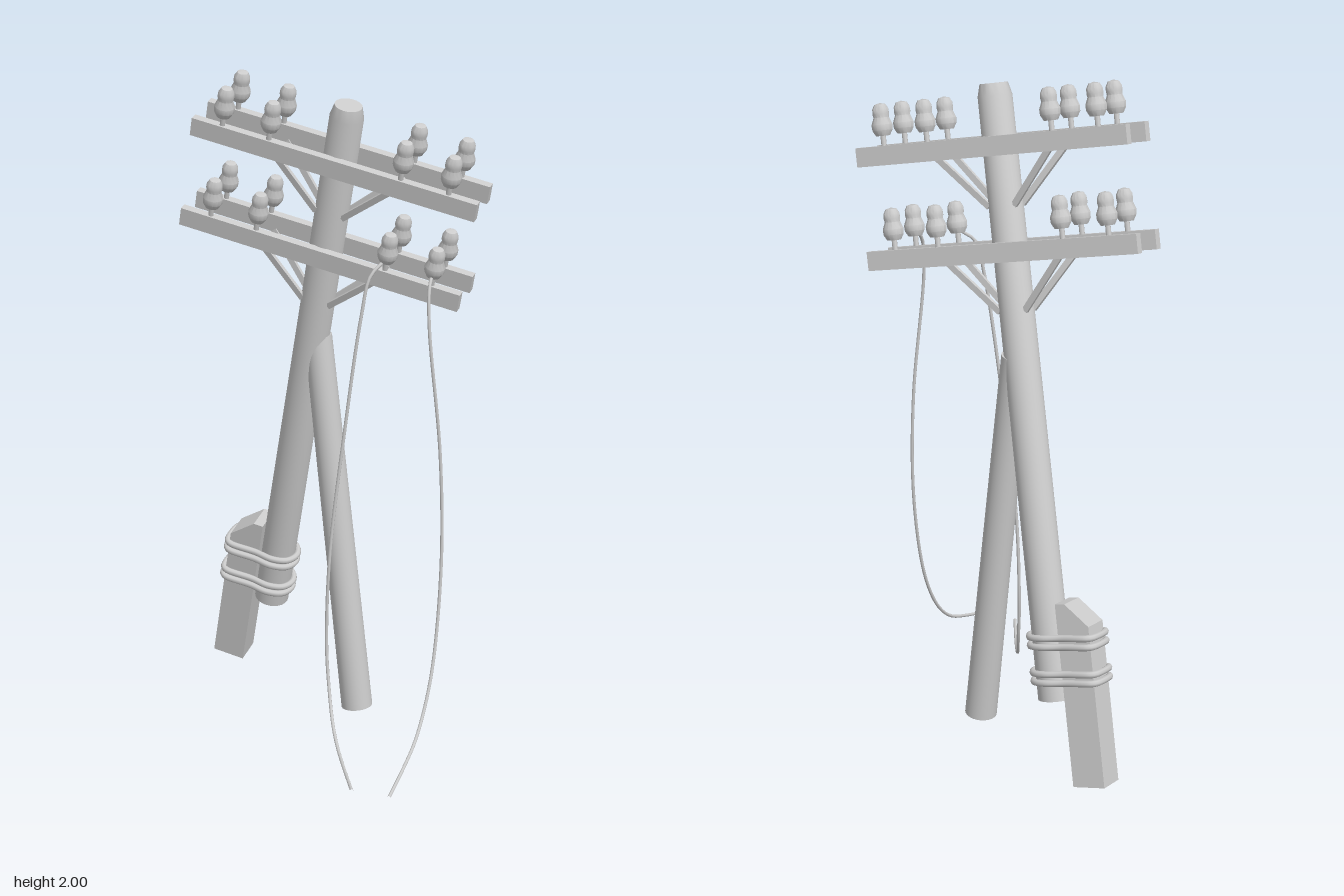
import * as THREE from 'three';
import { toCreasedNormals } from 'three/addons/utils/BufferGeometryUtils.js';

const V = (x, y, z) => new THREE.Vector3(x, y, z);
const mat = new THREE.MeshStandardMaterial({ color: 0xcccccc });
const UP = V(0, 1, 0);

function add(parent, name, geometry, x = 0, y = 0, z = 0) {
  const mesh = new THREE.Mesh(geometry, mat);
  mesh.name = name;
  mesh.position.set(x, y, z);
  parent.add(mesh);
  return mesh;
}

// Turned solid from [radius, height] pairs, with crisp edges kept
function turned(points, sides) {
  const g = new THREE.LatheGeometry(points.map(p => new THREE.Vector2(...p)), sides);
  return toCreasedNormals(g, 0.6);
}

// Stretch a mesh of unit height between two points
function between(mesh, a, b) {
  const d = b.clone().sub(a);
  mesh.position.copy(a).addScaledVector(d, 0.5);
  mesh.scale.y = d.length();
  mesh.quaternion.setFromUnitVectors(UP, d.normalize());
}

function tube(points, radius, closed, segments) {
  const curve = new THREE.CatmullRomCurve3(points.map(p => V(...p)), closed);
  return new THREE.TubeGeometry(curve, segments, radius, 8, closed);
}

export function createModel() {
  const model = new THREE.Group();
  model.name = 'leaningUtilityPole';

  // Leaning assembly: its own y runs along the main pole
  const leaning = new THREE.Group();
  leaning.name = 'leaningAssembly';
  const foot = V(-0.28, 0.24, -0.33);
  const yAxis = V(0.365, 1.71, 0.28).normalize();
  const zAxis = V(0.977, -0.208, -0.052).cross(yAxis).normalize();
  const xAxis = yAxis.clone().cross(zAxis);
  leaning.quaternion.setFromRotationMatrix(new THREE.Matrix4().makeBasis(xAxis, yAxis, zAxis));
  leaning.position.copy(foot);
  model.add(leaning);

  // Main pole with a bevelled top
  add(leaning, 'mainPole', turned([[0, 0], [0.053, 0], [0.049, 1.73], [0.04, 1.765], [0, 1.765]], 24));

  // Insulator on a thin pin
  const pinGeo = new THREE.CylinderGeometry(0.008, 0.008, 0.05, 8);
  const bellGeo = turned([[0, 0.056], [0.02, 0.056], [0.029, 0.072], [0.03, 0.088], [0.022, 0.108],
    [0.024, 0.118], [0.023, 0.132], [0.016, 0.145], [0, 0.149]], 14);
  const armGeo = new THREE.BoxGeometry(0.865, 0.055, 0.026);

  // Two tiers, each with a pair of crossarms clasping the pole
  for (const [tier, height] of [['upper', 1.592], ['lower', 1.294]]) {
    const arms = new THREE.Group();
    arms.name = tier + 'Crossarms';
    arms.position.y = height;
    leaning.add(arms);
    for (const side of [1, -1]) {
      const z = side * 0.059;
      add(arms, 'crossarm', armGeo, 0, 0, z);
      for (const x of [-0.343, -0.2, 0.2, 0.343]) {
        add(arms, 'insulatorPin', pinGeo, x, 0.045, z);
        add(arms, 'insulator', bellGeo, x, 0, z);
      }
      // Diagonal braces from the pole flanks to the arm
      for (const s of [1, -1]) {
        const brace = add(arms, 'brace', new THREE.BoxGeometry(0.018, 1, 0.012));
        between(brace, V(s * 0.04, -0.17, side * 0.025), V(s * 0.18, -0.02, side * 0.048));
      }
    }
  }

  // Square stub post with a sloped top, standing against the pole foot
  const outline = [[-0.05, -0.25], [-0.05, 0.285], [-0.08, 0.285], [-0.15, 0.22], [-0.15, -0.25]];
  const stubShape = new THREE.Shape(outline.map(p => new THREE.Vector2(...p)));
  add(leaning, 'stubPost', new THREE.ExtrudeGeometry(stubShape, { depth: 0.09, bevelEnabled: false }), 0, 0, -0.045);

  // Wire lashings around the stub and the pole
  const loop = [[-0.158, -0.04], [-0.145, -0.053], [-0.06, -0.053], [0, -0.06], [0.043, -0.043], [0.06, 0],
    [0.043, 0.043], [0, 0.06], [-0.06, 0.053], [-0.145, 0.053], [-0.158, 0.04]];
  const lashGeo = tube(loop.map(([x, z]) => [x, 0, z]), 0.01, true, 64);
  for (const y of [0.175, 0.07]) {
    for (const dy of [-0.013, 0.013]) add(leaning, 'lashing', lashGeo, 0, y + dy, 0);
  }

  // Prop pole leaning against the main pole
  const prop = add(model, 'propPole', new THREE.CylinderGeometry(0.042, 0.048, 1, 24));
  between(prop, V(0.085, 0.015, -0.143), V(-0.06, 1.2, -0.178));

  // Fallen wires hanging from the lower arm and trailing forwards
  add(model, 'innerWire', tube([[0.195, 1.5, -0.06], [0.165, 1.46, -0.02], [0.147, 1.35, 0], [0.107, 1, 0.025],
    [0.068, 0.6, 0.043], [0.06, 0.3, 0.047], [0.08, 0.17, 0.075], [0.113, 0.095, 0.13], [0.15, 0.06, 0.19],
    [0.2, 0.045, 0.27], [0.285, 0.045, 0.41]], 0.005, false, 80));
  add(model, 'outerWire', tube([[0.335, 1.48, -0.07], [0.34, 1.44, -0.03], [0.35, 1.33, -0.008], [0.385, 0.95, -0.02],
    [0.399, 0.65, -0.01], [0.402, 0.4, 0.03], [0.402, 0.27, 0.075], [0.4, 0.18, 0.13], [0.4, 0.12, 0.2],
    [0.4, 0.08, 0.3], [0.4, 0.048, 0.41]], 0.005, false, 80));

  return model;
}
